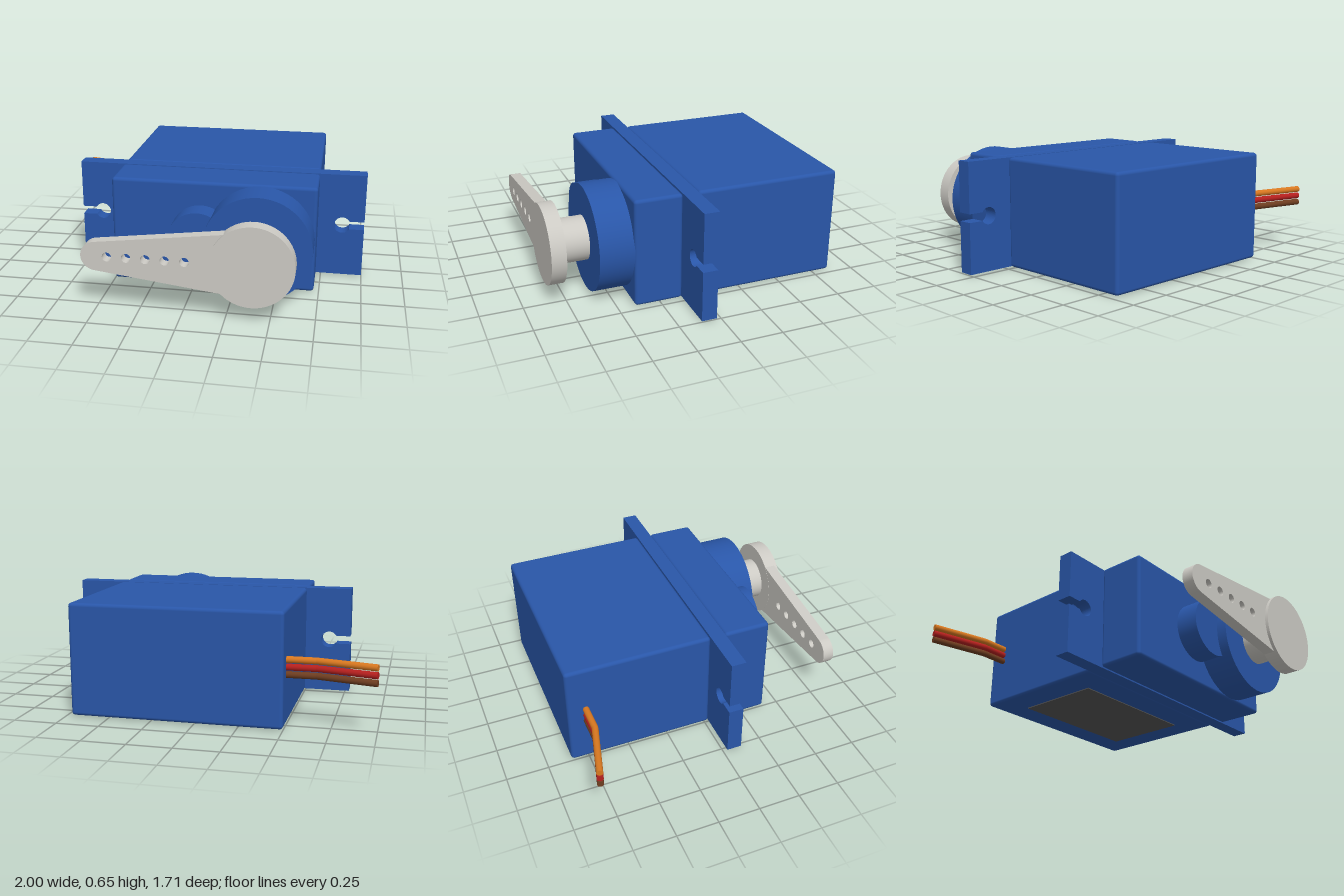
import * as THREE from 'three';
import { RoundedBoxGeometry } from 'three/addons/geometries/RoundedBoxGeometry.js';

const CY = 0.332;      // height of the shaft, hole and wire axis
const SHAFT_X = 0.397; // output shaft position
const rad = THREE.MathUtils.degToRad;

export function createModel() {
  const model = new THREE.Group();
  model.name = 'servoMotor';

  const material = (color) => new THREE.MeshStandardMaterial({ color });
  const blue = material(0x2956a8);
  const white = material(0xcccac4);

  const add = (name, geometry, mat, x = 0, y = 0, z = 0) => {
    const mesh = new THREE.Mesh(geometry, mat);
    mesh.name = name;
    mesh.position.set(x, y, z);
    model.add(mesh);
    return mesh;
  };

  // Box with softened edges, spanning z0..z1
  const casePart = (name, z0, z1) =>
    add(name, new RoundedBoxGeometry(1.22, 0.65, z1 - z0, 4, 0.02), blue, 0.11, 0.33, (z0 + z1) / 2);

  // Cylinder along z, spanning z0..z1
  const disc = (name, mat, x, r, z0, z1) => {
    const geometry = new THREE.CylinderGeometry(r, r, z1 - z0, 64).rotateX(Math.PI / 2);
    return add(name, geometry, mat, x, CY, (z0 + z1) / 2);
  };

  // Plate cut from a shape, spanning z0..z1
  const plate = (name, mat, shape, z0, z1) => {
    const geometry = new THREE.ExtrudeGeometry(shape, { depth: z1 - z0, bevelEnabled: false, curveSegments: 32 });
    return add(name, geometry, mat, 0, 0, z0);
  };

  // Case halves
  casePart('motorCase', -0.856, 0.025);
  casePart('gearCase', 0.117, 0.403);

  // Mounting flange with an open keyhole slot at each end
  const flange = new THREE.Shape();
  flange.moveTo(-0.775, 0.006);
  flange.lineTo(1, 0.006);
  flange.lineTo(1, CY - 0.025);
  flange.absarc(0.867, CY, 0.05, rad(-30), rad(30), true);
  flange.lineTo(1, CY + 0.025);
  flange.lineTo(1, 0.654);
  flange.lineTo(-0.775, 0.654);
  flange.lineTo(-0.775, CY + 0.025);
  flange.absarc(-0.645, CY, 0.05, rad(150), rad(210), true);
  flange.lineTo(-0.775, CY - 0.025);
  flange.closePath();
  plate('mountingFlange', blue, flange, 0.026, 0.116);

  // Gear housings and output shaft
  disc('mainGearHousing', blue, SHAFT_X, 0.317, 0.39, 0.603);
  disc('smallGearHousing', blue, 0.04, 0.18, 0.39, 0.54);
  disc('outputShaft', white, SHAFT_X, 0.131, 0.59, 0.775);

  // Horn: round hub and a tapered arm with a row of holes
  disc('hornHub', white, SHAFT_X, 0.238, 0.766, 0.853);
  const tipX = -0.484, tipR = 0.086;
  const arm = new THREE.Shape();
  arm.moveTo(SHAFT_X, CY - 0.197);
  arm.lineTo(SHAFT_X, CY + 0.197);
  arm.absarc(tipX, CY, tipR, rad(97), rad(263), false);
  arm.closePath();
  for (let i = 0; i < 5; i++) {
    const hole = new THREE.Path();
    hole.absarc(-0.418 + i * 0.11, CY, 0.027, 0, Math.PI * 2, true);
    arm.holes.push(hole);
  }
  plate('hornArm', white, arm, 0.767, 0.834);

  // Three wires leaving the case side, bent once towards the back
  const wires = [['signalWire', 0xd87820, 0.042], ['powerWire', 0xb5201e, 0], ['groundWire', 0x6e3d20, -0.042]];
  for (const [name, color, dy] of wires) {
    const y = CY + dy;
    const [start, bend, end] = [[-0.45, -0.747], [-0.665, -0.747], [-0.997, -0.83]]
      .map(([x, z]) => new THREE.Vector3(x, y, z));
    const path = new THREE.CurvePath();
    path.add(new THREE.LineCurve3(start, bend));
    path.add(new THREE.LineCurve3(bend, end));
    const wire = add(name, new THREE.TubeGeometry(path, 48, 0.019, 16), material(color));
    const cap = new THREE.Mesh(new THREE.CircleGeometry(0.019, 16), wire.material);
    cap.name = name + 'End';
    cap.position.copy(end);
    cap.lookAt(end.clone().multiplyScalar(2).sub(bend));
    wire.add(cap);
  }

  // Label panel on the underside
  add('labelPanel', new THREE.BoxGeometry(0.86, 0.012, 0.53), material(0x555555), 0.11, 0.006, -0.415);

  return model;
}
